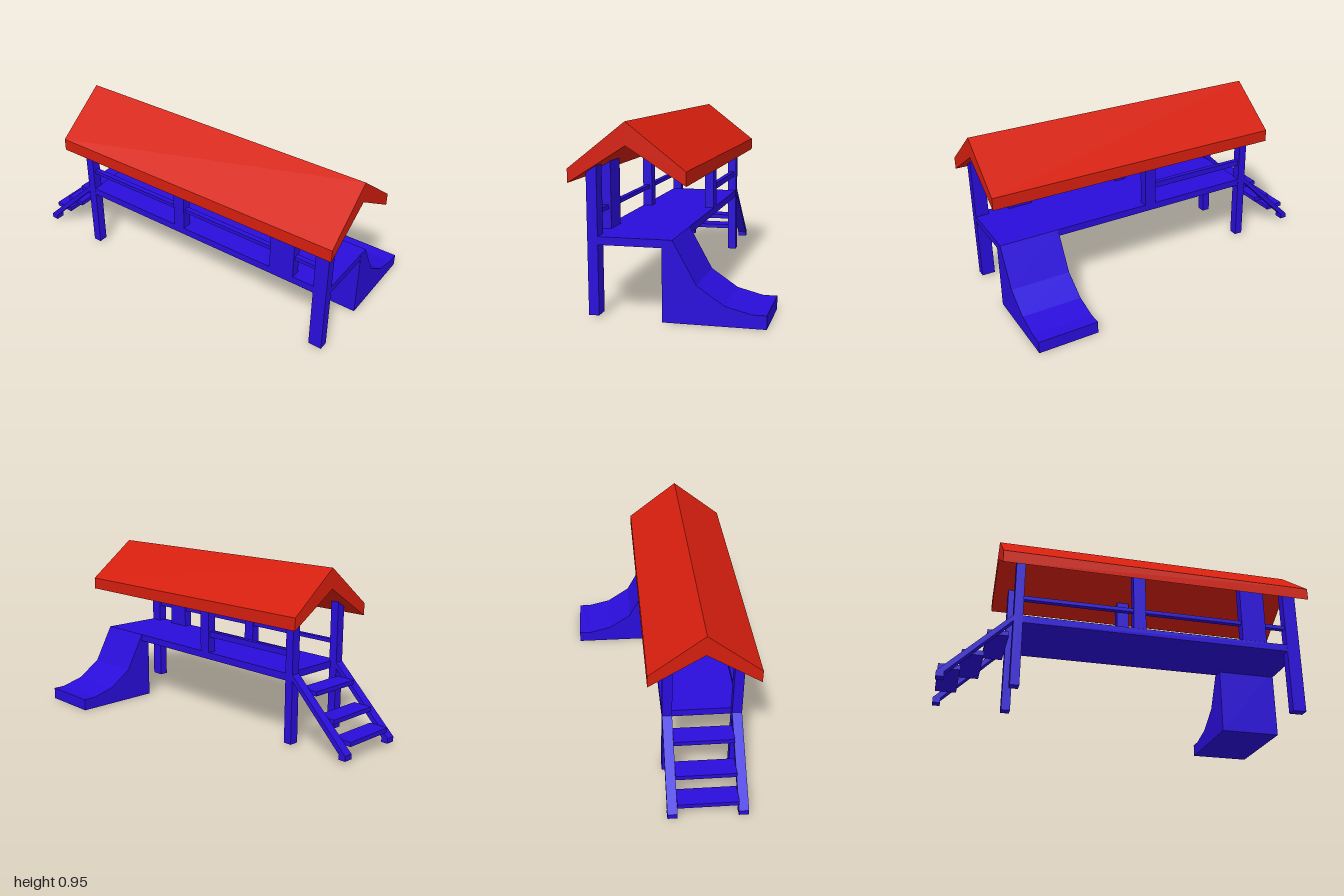
import * as THREE from 'three';

const blue = new THREE.MeshStandardMaterial({ color: 0x2a0ddb, flatShading: true });
const red = new THREE.MeshStandardMaterial({ color: 0xd61f0e, flatShading: true });

// Post lines on both long sides: [xMin, xMax]
const RIGHT = [-0.397, -0.345];
const LEFT = [-0.03, 0.022];

export function createModel() {
  const group = new THREE.Group();

  const add = (name, geometry, material = blue) => {
    const mesh = new THREE.Mesh(geometry, material);
    mesh.name = name;
    group.add(mesh);
    return mesh;
  };

  // Box given by its extents on each axis
  const box = (name, [x0, x1], [y0, y1], [z0, z1]) =>
    add(name, new THREE.BoxGeometry(x1 - x0, y1 - y0, z1 - z0)
      .translate((x0 + x1) / 2, (y0 + y1) / 2, (z0 + z1) / 2));

  // Profile in x/y extruded from z0 to z1
  const prism = (points, z0, z1) => {
    const shape = new THREE.Shape(points.map(([x, y]) => new THREE.Vector2(x, y)));
    return new THREE.ExtrudeGeometry(shape, { depth: z1 - z0, bevelEnabled: false }).translate(0, 0, z0);
  };

  // Gabled roof
  add('roof', prism([
    [-0.472, 0.66], [-0.185, 0.84], [0.103, 0.66],
    [0.103, 0.728], [-0.185, 0.952], [-0.472, 0.728],
  ], -0.72, 1), red);

  // Deck
  box('platform', [-0.396, 0.021], [0.36, 0.4], [-0.6, 0.954]);

  // Legs reaching the ground
  box('frontLeg', RIGHT, [0.012, 0.74], [0.88, 0.955]);
  for (const side of [RIGHT, LEFT]) {
    box('backLeg', side, [0.012, 0.74], [-0.64, -0.592]);
    box('middlePost', side, [0.4, 0.74], [0, 0.068]);
  }
  box('widePost', RIGHT, [0.4, 0.74], [0.62, 0.76]);

  // Handrails
  box('rightHandrail', [-0.385, -0.357], [0.5, 0.521], [-0.6, 0.9]);
  box('leftHandrail', [-0.018, 0.01], [0.49, 0.523], [-0.6, 0.01]);

  // Slide
  add('slide', prism([
    [-0.03, 0], [0.471, 0], [0.471, 0.067], [0.4, 0.067],
    [0.27, 0.1], [0.137, 0.19], [0.022, 0.4], [-0.03, 0.4],
  ], 0.62, 0.955));

  // Ladder stringers: profile in (-z, y), turned to run along z
  for (const [x0, x1] of [RIGHT, LEFT]) {
    const stringer = prism([
      [0.62, 0.385], [0.96, 0.049], [0.96, 0.022], [1, 0.022], [1, 0.05], [0.637, 0.402], [0.62, 0.402],
    ], x0, x1);
    add('ladderStringer', stringer.rotateY(Math.PI / 2).scale(1, 1, 1));
  }

  // Ladder steps
  for (const [y, z] of [[0.312, -0.708], [0.188, -0.828], [0.098, -0.938]]) {
    box('ladderStep', [-0.346, -0.029], [y - 0.0125, y + 0.0125], [z - 0.055, z + 0.055]);
  }

  return group;
}
